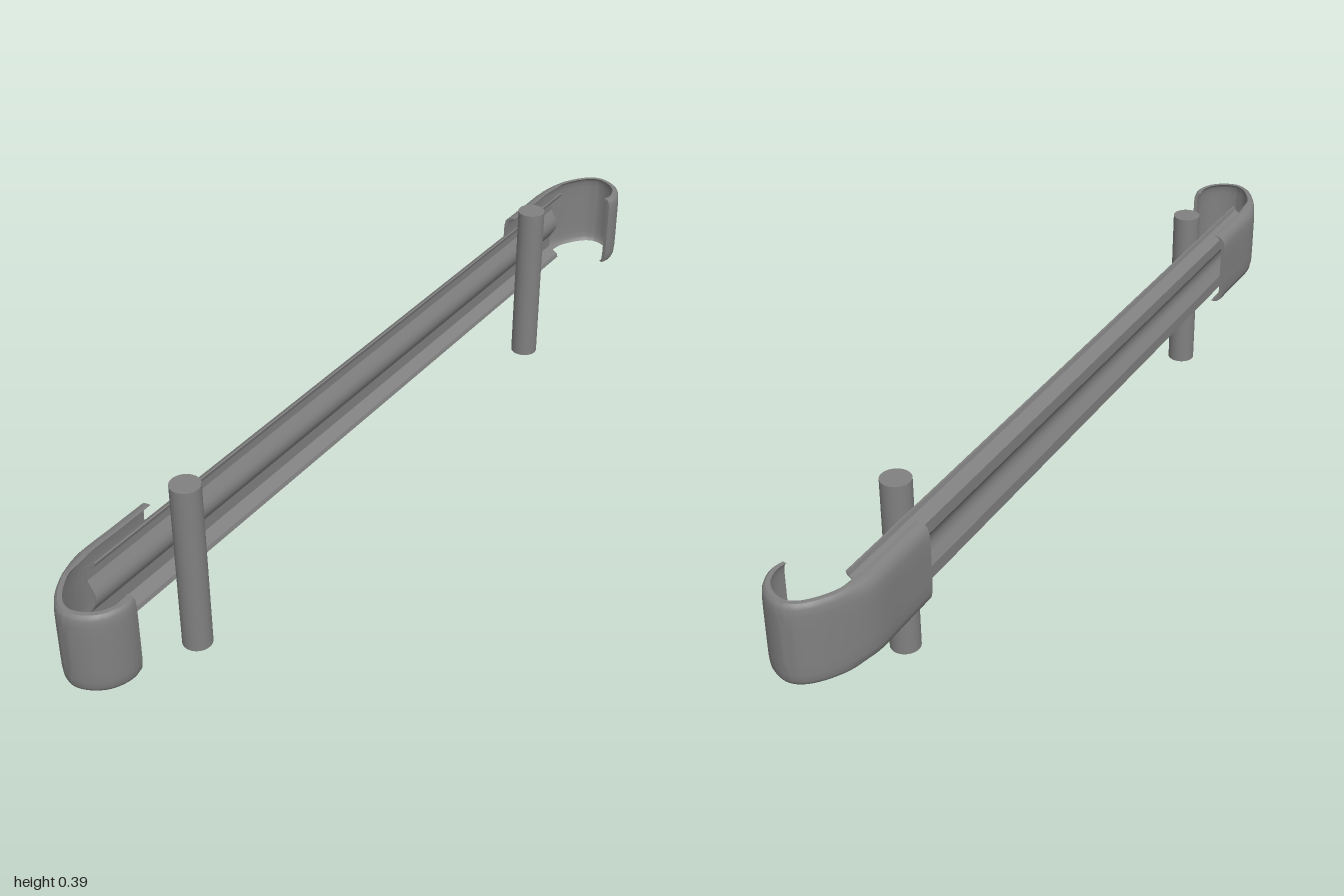
import * as THREE from 'three';
import { toCreasedNormals } from 'three/addons/utils/BufferGeometryUtils.js';

const material = new THREE.MeshStandardMaterial({ color: 0x808080, side: THREE.DoubleSide });

// Skin closed rings of points into a solid, with the end faces triangulated from the flat outline
function sweep(rings, outline, crease) {
  const n = outline.length, pos = [], idx = [];
  for (const ring of rings) for (const p of ring) pos.push(p.x, p.y, p.z);
  for (let i = 0; i < rings.length - 1; i++) {
    for (let j = 0; j < n; j++) {
      const a = i * n + j, b = i * n + (j + 1) % n;
      idx.push(a, b, a + n, b, b + n, a + n);
    }
  }
  const last = (rings.length - 1) * n;
  const ccw = THREE.ShapeUtils.area(outline) > 0;
  for (const [a, b, c] of THREE.ShapeUtils.triangulateShape(outline, [])) {
    if (ccw) idx.push(a, c, b, last + a, last + b, last + c);
    else idx.push(a, b, c, last + a, last + c, last + b);
  }
  // turn the faces outward if the solid came out inside out
  const P = i => new THREE.Vector3().fromArray(pos, i * 3);
  let volume = 0;
  for (let i = 0; i < idx.length; i += 3) volume += P(idx[i]).dot(P(idx[i + 1]).cross(P(idx[i + 2])));
  if (volume < 0) idx.reverse();
  const g = new THREE.BufferGeometry();
  g.setAttribute('position', new THREE.Float32BufferAttribute(pos, 3));
  g.setIndex(idx);
  return toCreasedNormals(g, crease);
}

// Beam: sloped flanges, two flat humps toward -x and a shallow rounded valley between them
function railGeometry() {
  const half = [[-0.037, 0.332], [-0.040, 0.323], [-0.063, 0.308], [-0.063, 0.280],
    [-0.052, 0.262], [-0.047, 0.252]];
  const mid = 0.242;
  const profile = [...half, [-0.046, mid], ...half.map(([x, y]) => [x, 2 * mid - y]).reverse()];
  const t = 0.004;
  const outline = [...profile, ...profile.map(([x, y]) => [x + t, y]).reverse()]
    .map(([x, y]) => new THREE.Vector2(x, y));
  return sweep([-0.865, 0.865].map(z => outline.map(p => new THREE.Vector3(p.x, p.y, z))), outline, 0.45);
}

// Cross-section of an end piece: a tall strip whose long edges roll inward by the lip depth
function endSection(lip) {
  const mid = 0.245, halfHeight = 0.088, t = 0.009;
  const edge = [[1, 0], [0.55, 0.003], [0.2, 0.01], [0.03, 0.025], [0, 0.05]];
  const outer = [...edge.map(([u, d]) => [u * lip, mid + halfHeight - d]),
    ...edge.map(([u, d]) => [u * lip, mid - halfHeight + d]).reverse()];
  return [...outer, ...outer.map(([u, y]) => [u + t, y]).reverse()]
    .map(([u, y]) => new THREE.Vector2(u, y));
}

// End piece: a plate over the rail that curls round in plan like a hook
function endGeometry(side) {
  const path = new THREE.CatmullRomCurve3([
    [-0.09, 0.68], [-0.09, 0.77], [-0.09, 0.85], [-0.084, 0.882], [-0.070, 0.918],
    [-0.044, 0.963], [-0.018, 0.989], [0.01, 0.999], [0.045, 0.99], [0.074, 0.966],
    [0.088, 0.935], [0.09, 0.912], [0.086, 0.893],
  ].map(([x, z]) => new THREE.Vector3(x, 0, z)));
  const rings = [], steps = 48;
  for (let i = 0; i <= steps; i++) {
    const p = path.getPoint(i / steps), d = path.getTangent(i / steps);
    // the lip is deep on the plate and shrinks on the hook
    const lip = 0.02 - 0.012 * THREE.MathUtils.smoothstep(p.x, -0.09, -0.065);
    rings.push(endSection(lip).map(q =>
      new THREE.Vector3(p.x + d.z * q.x, q.y, side * (p.z - d.x * q.x))));
  }
  return sweep(rings, endSection(0.02), 0.62);
}

export function createModel() {
  const group = new THREE.Group();
  const add = (name, geometry) => {
    const mesh = new THREE.Mesh(geometry, material);
    mesh.name = name;
    group.add(mesh);
    return mesh;
  };

  add('rail', railGeometry());

  for (const [side, label] of [[1, 'front'], [-1, 'back']]) {
    add(label + 'EndPiece', endGeometry(side));
    // round post
    const post = add(label + 'Post', new THREE.CylinderGeometry(0.031, 0.031, 0.388, 32));
    post.position.set(0, 0.194, side * 0.648);
  }
  return group;
}
